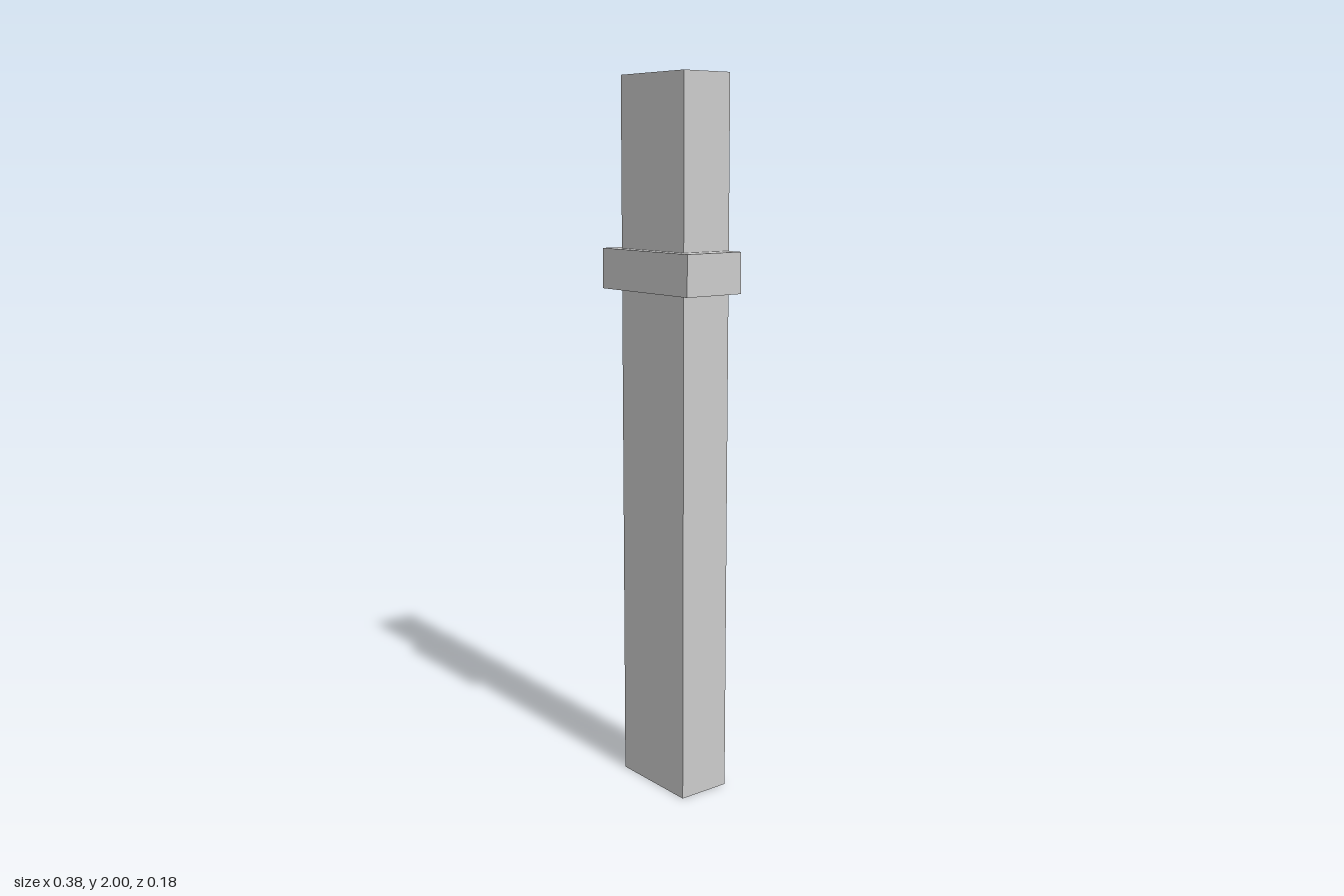
import * as THREE from 'three';

const BACK = -0.092;
const INNER = { halfWidth: 0.137, front: 0.063 };
const OUTER = { halfWidth: 0.188, front: 0.092 };
const BAND_BOTTOM = 1.422, BAND_TOP = 1.534, HEIGHT = 2;

const material = new THREE.MeshStandardMaterial({
  color: 0xcccccc, flatShading: true, side: THREE.DoubleSide,
});

// U-shaped section, open at the back, running from right to left
function section({ halfWidth: w, front }, y) {
  return [[-w, y, BACK], [-w, y, front], [w, y, front], [w, y, BACK]];
}

// Thin sheet joining successive U sections
function sheet(name, sections) {
  const positions = [];
  for (let i = 0; i < sections.length - 1; i++) {
    const low = sections[i], high = sections[i + 1];
    for (let j = 0; j < low.length - 1; j++) {
      const a = low[j], b = low[j + 1], c = high[j + 1], d = high[j];
      positions.push(...a, ...b, ...c, ...a, ...c, ...d);
    }
  }
  const geometry = new THREE.BufferGeometry();
  geometry.setAttribute('position', new THREE.Float32BufferAttribute(positions, 3));
  geometry.computeVertexNormals();
  const mesh = new THREE.Mesh(geometry, material);
  mesh.name = name;
  return mesh;
}

export function createModel() {
  const group = new THREE.Group();
  group.name = 'channelPost';

  group.add(
    // Long channel below the band
    sheet('lowerChannel', [section(INNER, 0), section(INNER, BAND_BOTTOM)]),
    // Hollow projecting band with a ledge below and above
    sheet('band', [
      section(INNER, BAND_BOTTOM), section(OUTER, BAND_BOTTOM),
      section(OUTER, BAND_TOP), section(INNER, BAND_TOP),
    ]),
    // Short channel above the band
    sheet('upperChannel', [section(INNER, BAND_TOP), section(INNER, HEIGHT)]),
  );
  return group;
}
